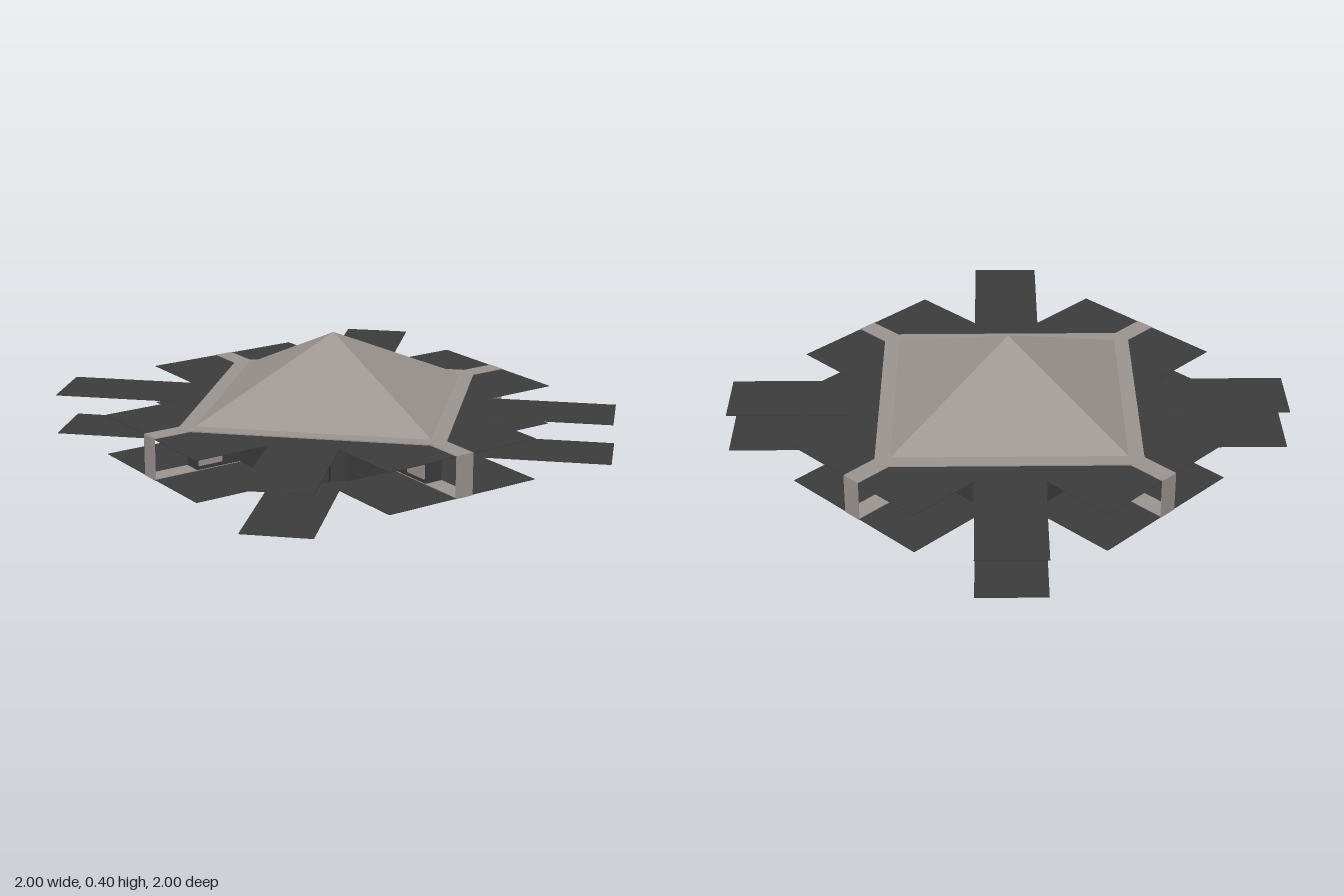
import * as THREE from 'three';

export function createModel() {
  const model = new THREE.Group();
  const dark = new THREE.MeshStandardMaterial({ color: 0x3c3c3c });
  dark.name = 'charcoal';
  const light = new THREE.MeshStandardMaterial({ color: 0x9c9591 });
  light.name = 'warm stone';

  function add(parent, name, geometry, material, x = 0, y = 0, z = 0, turn = 0) {
    const mesh = new THREE.Mesh(geometry, material);
    mesh.name = name;
    mesh.position.set(x, y, z);
    mesh.rotation.y = turn;
    parent.add(mesh);
    return mesh;
  }
  const box = (w, h, d) => new THREE.BoxGeometry(w, h, d);

  // Two identical star-shaped decks, each with stone strips on its diagonals
  for (const [name, y] of [['lowerDeck', 0.003], ['upperDeck', 0.147]]) {
    const deck = new THREE.Group();
    deck.name = name;
    deck.position.y = y;
    model.add(deck);
    for (let i = 0; i < 2; i++) {
      const straight = i * Math.PI / 2;
      const diagonal = straight + Math.PI / 4;
      add(deck, 'straightArm', box(2, 0.002, 0.24), dark, 0, 0, 0, straight);
      add(deck, 'diagonalArm', box(1.51, 0.002, 0.61), dark, 0, 0, 0, diagonal);
      add(deck, 'diagonalStrip', box(1.51, 0.006, 0.07), light, 0, 0, 0, diagonal);
    }
  }

  // Eight-sided wall between the decks
  const plan = new THREE.Shape([
    [0.13, 0.46], [-0.13, 0.46], [-0.46, 0.13], [-0.46, -0.13],
    [-0.13, -0.46], [0.13, -0.46], [0.46, -0.13], [0.46, 0.13],
  ].map(([x, z]) => new THREE.Vector2(x, z)));
  const wall = new THREE.ExtrudeGeometry(plan, { depth: 0.14, bevelEnabled: false });
  wall.rotateX(-Math.PI / 2);
  add(model, 'wall', wall, dark, 0, 0.004, 0);

  // Repeated details on each of the four sides and corners
  for (let i = 0; i < 4; i++) {
    const side = new THREE.Group();
    side.name = 'doorPosts';
    side.rotation.y = i * Math.PI / 2;
    model.add(side);
    for (const s of [-1, 1]) {
      add(side, 'doorPost', box(0.045, 0.1, 0.03), dark, s * 0.05, 0.053, 0.472);
    }

    const corner = new THREE.Group();
    corner.name = 'corner';
    corner.rotation.y = Math.PI / 4 + i * Math.PI / 2;
    model.add(corner);
    add(corner, 'endPlate', box(0.07, 0.148, 0.003), light, 0, 0.075, 0.755);
    add(corner, 'buttress', box(0.066, 0.14, 0.2), dark, 0, 0.074, 0.49);
    for (const s of [-1, 1]) {
      add(corner, 'buttressPanel', box(0.004, 0.1, 0.095), light, s * 0.034, 0.07, 0.538);
    }
  }

  // Square eave and pyramid roof
  add(model, 'eave', box(0.92, 0.01, 0.92), light, 0, 0.147, 0);
  const roof = new THREE.ConeGeometry(0.41 * Math.SQRT2, 0.25, 4, 1).toNonIndexed();
  roof.rotateY(Math.PI / 4);
  roof.computeVertexNormals();
  add(model, 'roof', roof, light, 0, 0.275, 0);

  return model;
}
